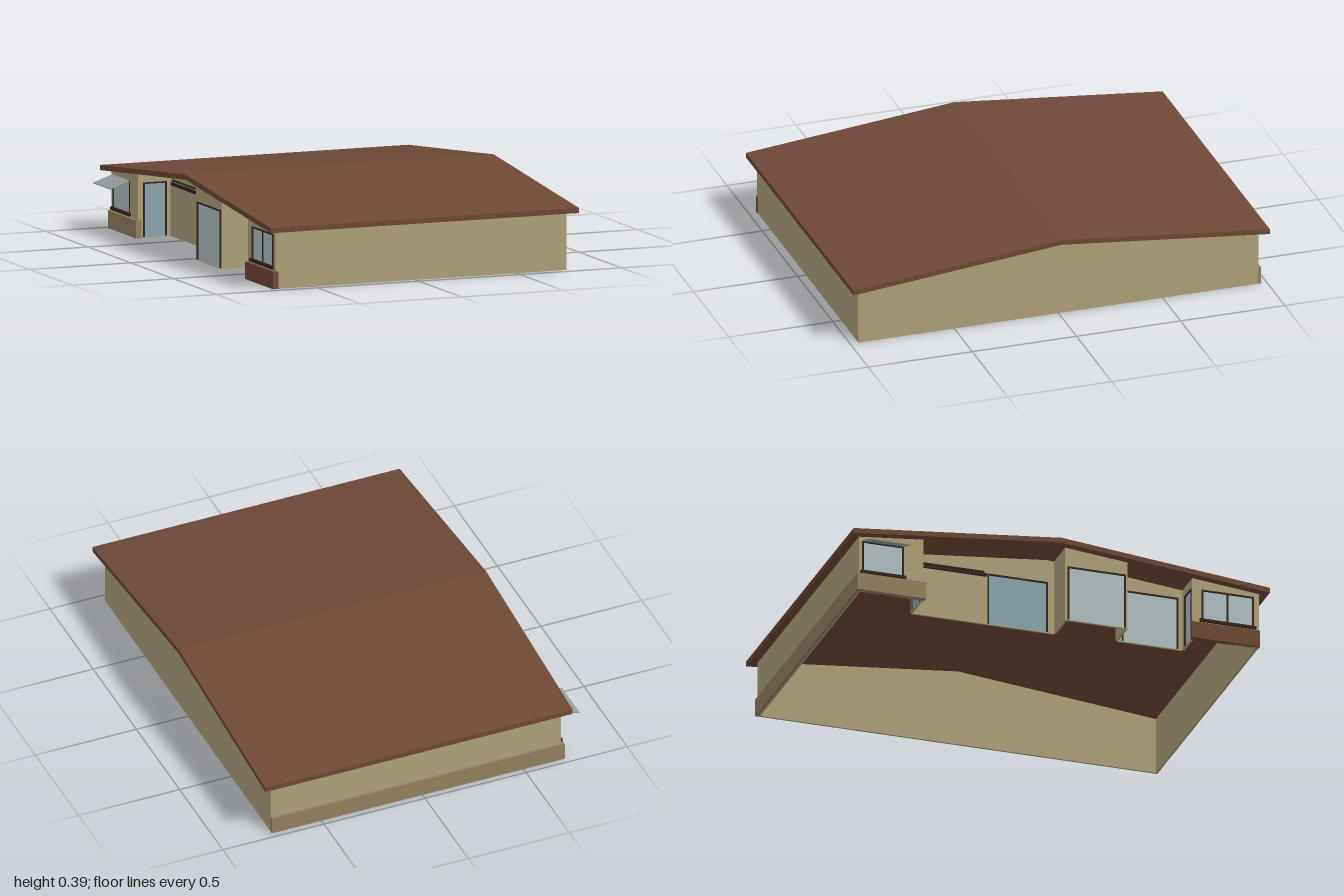
import * as THREE from 'three';

const mat = (name, color) => {
  const m = new THREE.MeshStandardMaterial({ color });
  m.name = name;
  return m;
};

export function createModel() {
  const model = new THREE.Group();
  const cream = mat('cream wall', 0xaea27a);
  const brown = mat('brown roof', 0x6d4836);
  const tan = mat('tan plinth', 0x938060);
  const dark = mat('dark frame', 0x35261f);
  const paleGlass = mat('pale glass', 0xb2c0c3);
  const tealGlass = mat('teal glass', 0x8aa6ac);
  const greyGlass = mat('grey pane', 0x979e9e);

  const add = (name, geo, material, parent = model) => {
    const mesh = new THREE.Mesh(geo, material);
    mesh.name = name;
    parent.add(mesh);
    return mesh;
  };
  // box given by its two opposite corners
  const box = (name, material, x0, x1, y0, y1, z0, z1, parent) =>
    add(name, new THREE.BoxGeometry(x1 - x0, y1 - y0, z1 - z0), material, parent)
      .position.set((x0 + x1) / 2, (y0 + y1) / 2, (z0 + z1) / 2);

  // low gable roof, ridge along x
  const eave = 0.265, ridge = 0.366;
  const underside = (z) => ridge - (ridge - eave) * Math.abs(z);
  const section = new THREE.Shape([
    [-1, eave], [0, ridge], [1, eave], [1, 0.289], [0, 0.39], [-1, 0.289],
  ].map(([x, y]) => new THREE.Vector2(x, y)));
  const roof = new THREE.ExtrudeGeometry(section, { depth: 1.52, bevelEnabled: false });
  roof.rotateY(Math.PI / 2).translate(-0.73, 0, 0);
  add('roof', roof, brown);

  // wall from a to b (x, z), outside on its local +z, with framed openings
  const T = 0.01, F = 0.007;
  function wall(name, a, b, openings = []) {
    const g = new THREE.Group();
    g.name = name;
    const dx = b[0] - a[0], dz = b[1] - a[1], len = Math.hypot(dx, dz);
    g.position.set(a[0], 0, a[1]);
    g.rotation.y = Math.atan2(-dz, dx);
    const pts = [[0, 0], [len, 0], [len, underside(b[1])]];
    if (a[1] * b[1] < 0) pts.push([len * a[1] / (a[1] - b[1]), ridge]);
    pts.push([0, underside(a[1])]);
    const shape = new THREE.Shape(pts.map(([x, y]) => new THREE.Vector2(x, y + (y > 0 ? 0.002 : 0))));
    for (const { s0, s1, y0, y1, glass, panes = 1 } of openings) {
      shape.holes.push(new THREE.Path([[s0, y0], [s0, y1], [s1, y1], [s1, y0]]
        .map(([x, y]) => new THREE.Vector2(x, y))));
      box('window glass', glass, s0, s1, y0, y1, -0.008, -0.003, g);
      // uprights, mullions and rails
      for (let i = 0; i <= panes; i++) {
        const s = s0 + (s1 - s0 - F) * i / panes;
        box('frame upright', dark, s, s + F, y0, y1, -T - 0.001, 0.003, g);
      }
      box('frame head', dark, s0, s1, y1 - F, y1, -T - 0.001, 0.003, g);
      if (y0 > 0.05) box('window sill', dark, s0 - 0.01, s1 + 0.01, y0 - F, y0 + F, -T - 0.001, 0.01, g);
    }
    const geo = new THREE.ExtrudeGeometry(shape, { depth: T, bevelEnabled: false });
    add('wall panel', geo.translate(0, 0, -T), cream, g);
    model.add(g);
  }

  // plan outline, walked so that outside stays on the same hand
  const L = -0.69, R = 0.745, E = 0.96, B = 0.004, H = 0.255;
  wall('frontWall', [L, E], [R, E]);
  wall('gableWall', [R, E], [R, -E]);
  wall('backWall', [R, -E], [L, -E]);
  wall('rearBayWall', [L, -E], [L, -0.65],
    [{ s0: 0.015, s1: 0.215, y0: 0.095, y1: 0.25, glass: paleGlass }]);
  wall('rearBayReturn', [L, -0.65], [-0.53, -0.65],
    [{ s0: 0.025, s1: 0.14, y0: B, y1: H, glass: tealGlass }]);
  wall('rearPorchWall', [-0.53, -0.65], [-0.53, 0.03], [
    { s0: 0.36, s1: 0.65, y0: B, y1: H, glass: tealGlass },
    { s0: 0.03, s1: 0.345, y0: 0.245, y1: 0.265, glass: tealGlass },
  ]);
  wall('middleBayRearReturn', [-0.53, 0.03], [L, 0.03]);
  wall('middleBayWall', [L, 0.03], [L, 0.33],
    [{ s0: 0.012, s1: 0.29, y0: B, y1: 0.27, glass: paleGlass }]);
  wall('middleBayFrontReturn', [L, 0.33], [-0.55, 0.33]);
  wall('frontPorchWall', [-0.55, 0.33], [-0.55, 0.64],
    [{ s0: 0.02, s1: 0.29, y0: B, y1: 0.26, glass: paleGlass }]);
  wall('frontBayReturn', [-0.55, 0.64], [L, 0.64],
    [{ s0: 0.033, s1: 0.132, y0: B, y1: H, glass: paleGlass }]);
  wall('frontBayWall', [L, 0.64], [L, E],
    [{ s0: 0.045, s1: 0.295, y0: 0.095, y1: 0.25, glass: paleGlass, panes: 2 }]);

  // projecting plinths
  box('backPlinth', tan, -0.703, R, 0, 0.083, -0.972, -0.955);
  box('rearBayPlinth', tan, -0.703, -0.677, 0, 0.083, -0.972, -0.642);
  box('frontBayPlinth', brown, -0.703, -0.677, 0, 0.08, 0.635, 0.962);

  // top-hung window pane, swung outward
  const pane = new THREE.Group();
  pane.name = 'openPane';
  box('pane glass', greyGlass, -0.1, 0, -0.002, 0.002, -0.1, 0.1, pane);
  pane.position.set(-0.693, 0.25, -0.845);
  pane.rotation.z = 0.33;
  model.add(pane);

  return model;
}
